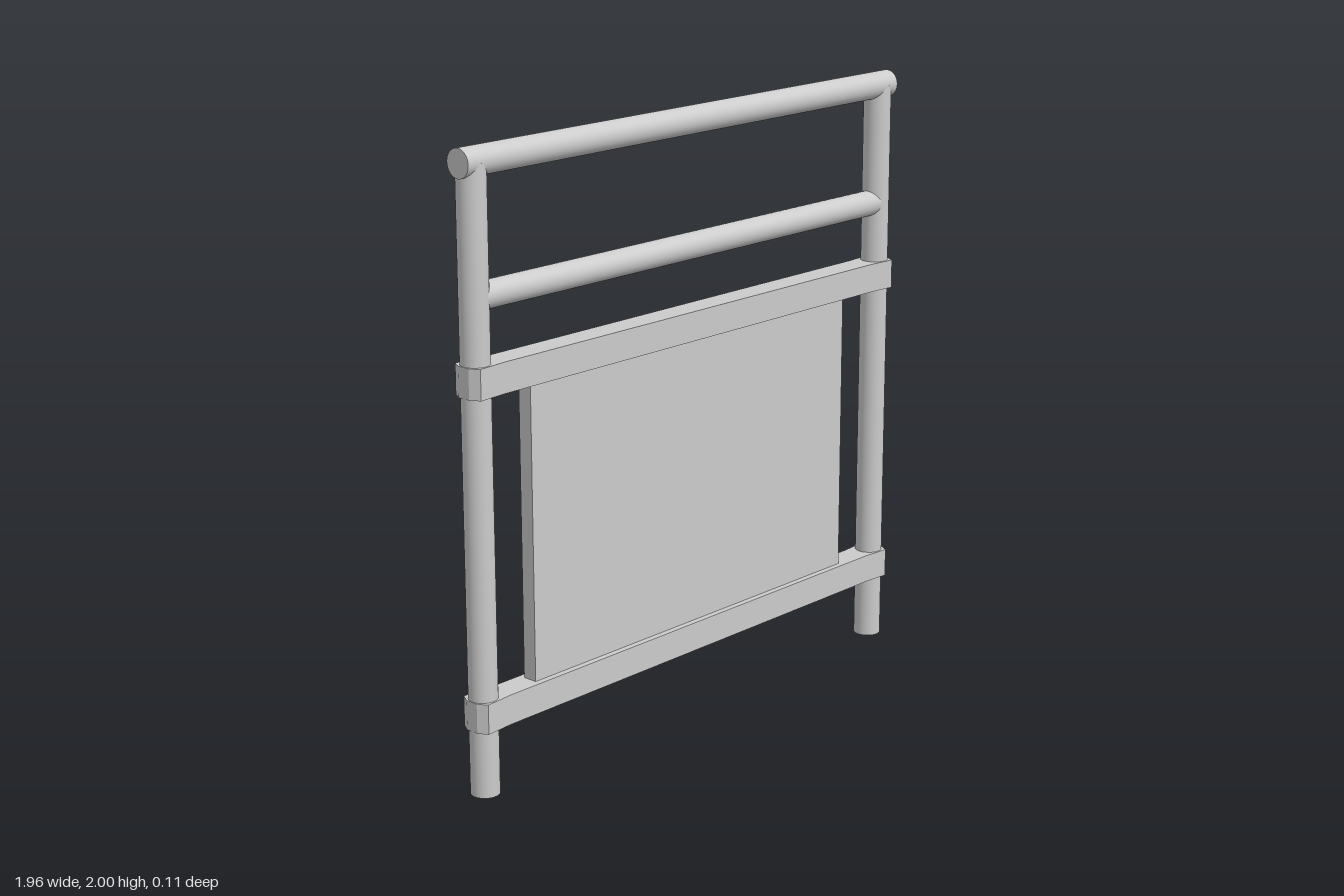
import * as THREE from 'three';

export function createModel() {
  const group = new THREE.Group();
  group.name = 'railingPanel';
  const mat = new THREE.MeshStandardMaterial({ color: 0xcccccc });

  const add = (name, geometry, x, y, z = 0) => {
    const mesh = new THREE.Mesh(geometry, mat);
    mesh.name = name;
    mesh.position.set(x, y, z);
    group.add(mesh);
    return mesh;
  };
  const tube = (radius, length) => new THREE.CylinderGeometry(radius, radius, length, 32);

  // Upright posts
  const postX = 0.93;
  const postTop = 1.955;
  add('leftPost', tube(0.046, postTop), postX, postTop / 2);
  add('rightPost', tube(0.046, postTop), -postX, postTop / 2);

  // Round handrail and the thinner rail below it
  add('topRail', tube(0.045, 1.96).rotateZ(Math.PI / 2), 0, 1.955);
  add('middleRail', tube(0.043, 1.86).rotateZ(Math.PI / 2), 0, 1.556);

  // Flat crossbars, widening into collars around the posts
  const quarter = [[0.86, 0.046], [0.96, 0.054], [0.978, 0.022]];
  const mirrored = quarter.map(([x, z]) => [x, -z]).reverse();
  const end = [...mirrored.reverse(), ...quarter.slice().reverse()];
  const outline = [...end, ...end.map(([x, z]) => [-x, -z])];
  const shape = new THREE.Shape(outline.map(([x, z]) => new THREE.Vector2(x, z)));
  const barHeight = 0.096;
  const barGeometry = new THREE.ExtrudeGeometry(shape, { depth: barHeight, bevelEnabled: false });
  barGeometry.rotateX(-Math.PI / 2);
  add('lowerCrossbar', barGeometry, 0, 0.215);
  add('upperCrossbar', barGeometry, 0, 1.26);

  // Infill board held between the crossbars
  add('infillPanel', new THREE.BoxGeometry(1.466, 0.97, 0.05), 0, 0.785);

  return group;
}
